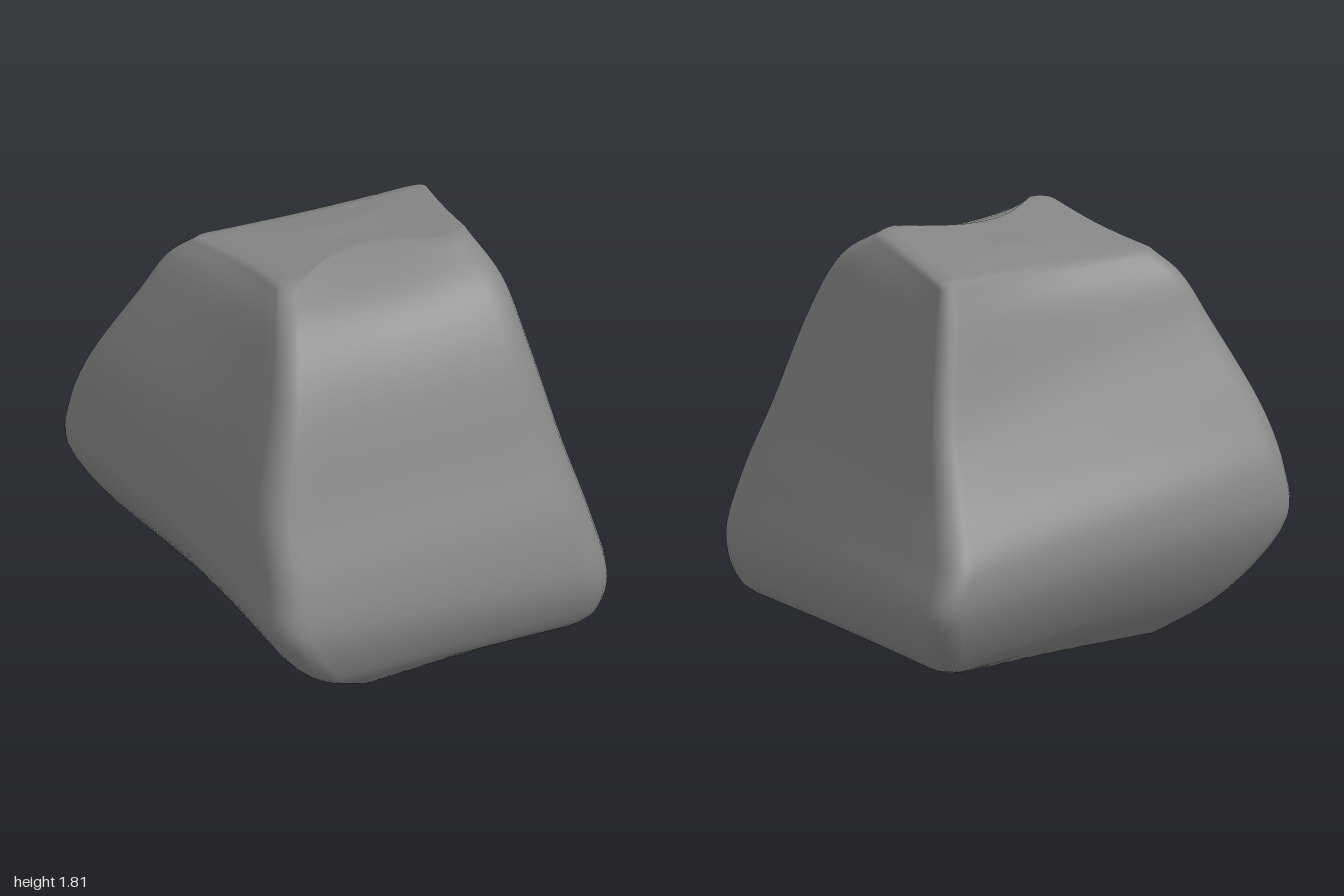
import * as THREE from 'three';

// Four corner ridges of the boulder, each from the bottom edge to the top edge
const ridges = [
  // front, +x
  [[.57, .06, .81], [.715, .13, .925], [.745, .32, 1.0], [.69, .60, .96], [.61, .95, .825], [.525, 1.42, .635], [.49, 1.66, .46], [.43, 1.80, .23]],
  // back, +x
  [[.68, .00, -.64], [.835, .06, -.77], [.975, .32, -.92], [.905, .53, -.91], [.805, .77, -.75], [.725, 1.05, -.61], [.60, 1.5, -.47], [.55, 1.69, -.41]],
  // back, -x
  [[-.50, .015, -.63], [-.73, .21, -.84], [-.95, .54, -1.0], [-.94, .75, -.985], [-.895, 1.0, -.89], [-.74, 1.4, -.69], [-.65, 1.59, -.60], [-.555, 1.70, -.49]],
  // front, -x
  [[-.50, .055, .82], [-.75, .20, .93], [-.935, .46, .995], [-.93, .66, .95], [-.90, .95, .83], [-.73, 1.44, .63], [-.62, 1.68, .45], [-.52, 1.81, .25]],
].map(r => new THREE.CatmullRomCurve3(r.map(p => new THREE.Vector3(...p))));

// Corner rounding of each ridge, and how far the side after it sinks in
const rounding = [.11, .07, .06, .09];
const sinking = [.015, .03, .045, .01];

// One cross-section: a quad through the four ridges with rounded corners
function section(t) {
  const c = ridges.map(r => r.getPoint(t)), loop = [];
  const arc = 5, side = 8;
  for (let k = 0; k < 4; k++) {
    const prev = c[(k + 3) % 4], cur = c[k], next = c[(k + 1) % 4];
    const a = cur.clone().lerp(prev, rounding[k]), b = cur.clone().lerp(next, rounding[k]);
    const bend = new THREE.QuadraticBezierCurve3(a, cur, b);
    for (let i = 0; i <= arc; i++) loop.push(bend.getPoint(i / arc));
    const end = next.clone().lerp(cur, rounding[(k + 1) % 4]);
    // The front side also has a shallow notch at the top
    const notch = k === 3 ? t ** 16 : 0;
    for (let i = 1; i < side; i++) {
      const p = b.clone().lerp(end, i / side);
      const wave = Math.sin(Math.PI * i / side);
      p.x *= 1 - sinking[k] * wave;
      p.z *= 1 - (sinking[k] + .65 * notch) * wave;
      p.y -= .015 * notch * wave;
      loop.push(p);
    }
  }
  return loop;
}

function boulderGeometry() {
  const steps = 35, rows = [];
  const bottom = new THREE.Vector3(.06, .03, .08), top = new THREE.Vector3(0, 1.765, -.12);
  const shrink = (loop, centre, f) => loop.map(p => p.clone().lerp(centre, f));
  const first = section(0), last = section(1);

  // Bottom cap, flanks, top cap
  for (const f of [1, .6, .25, .08]) rows.push(shrink(first, bottom, f));
  for (let j = 0; j <= steps; j++) rows.push(section(j / steps));
  for (const f of [.15, .35, .6, 1]) rows.push(shrink(last, top, f));

  const n = first.length, index = [];
  for (let j = 0; j < rows.length - 1; j++) {
    for (let i = 0; i < n; i++) {
      const a = j * n + i, b = j * n + (i + 1) % n;
      if (j > 0) index.push(a, b, b + n);
      if (j < rows.length - 2) index.push(a, b + n, a + n);
      else index.push(a, b, a + n);
    }
  }
  const geo = new THREE.BufferGeometry().setFromPoints(rows.flat());
  geo.setIndex(index);
  geo.computeVertexNormals();

  // Cap centres share one upright normal
  const normal = geo.attributes.normal;
  for (let i = 0; i < n; i++) {
    normal.setXYZ(i, 0, -1, 0);
    normal.setXYZ((rows.length - 1) * n + i, 0, 1, 0);
  }
  return geo;
}

export function createModel() {
  const group = new THREE.Group();
  group.name = 'rock';
  const boulder = new THREE.Mesh(boulderGeometry(), new THREE.MeshStandardMaterial({ color: 0x868686 }));
  boulder.name = 'boulder';
  group.add(boulder);
  return group;
}
